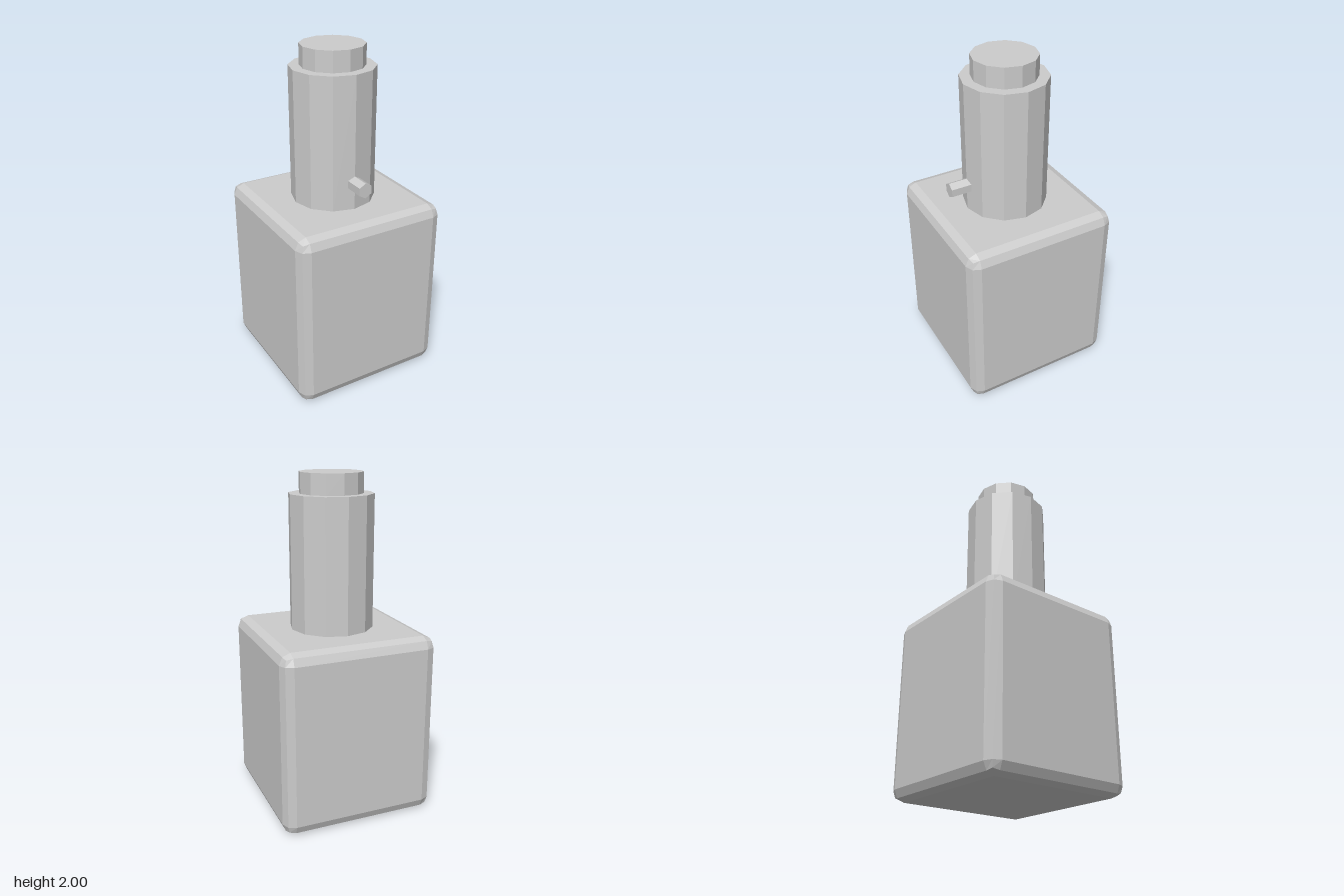
import * as THREE from 'three';
import { RoundedBoxGeometry } from 'three/addons/geometries/RoundedBoxGeometry.js';

export function createModel() {
  const model = new THREE.Group();
  model.name = 'bottle';
  const grey = new THREE.MeshStandardMaterial({ color: 0xcccccc, flatShading: true });
  grey.name = 'light grey';

  function add(name, geometry, x, y, z) {
    const mesh = new THREE.Mesh(geometry, grey);
    mesh.name = name;
    mesh.position.set(x, y, z);
    model.add(mesh);
  }

  // Square body with a faceted two-step bevel
  const bodyHeight = 1.095;
  const body = new RoundedBoxGeometry(0.936, bodyHeight, 0.936, 1, 0.065);
  body.computeVertexNormals();
  add('body', body, 0, bodyHeight / 2, 0);

  // Twelve-sided neck and cap, stacked on the body
  function addColumn(name, radius, bottom, top) {
    const geometry = new THREE.CylinderGeometry(radius, radius, top - bottom, 12);
    add(name, geometry, 0, (bottom + top) / 2, 0);
  }
  addColumn('neck', 0.249, bodyHeight, 1.88);
  addColumn('cap', 0.187, 1.88, 2);

  // Small hexagonal nozzle on the front of the neck
  const nozzle = new THREE.CylinderGeometry(0.045, 0.045, 0.13, 6);
  nozzle.rotateX(Math.PI / 2);
  add('nozzle', nozzle, 0, 1.253, 0.295);

  return model;
}
